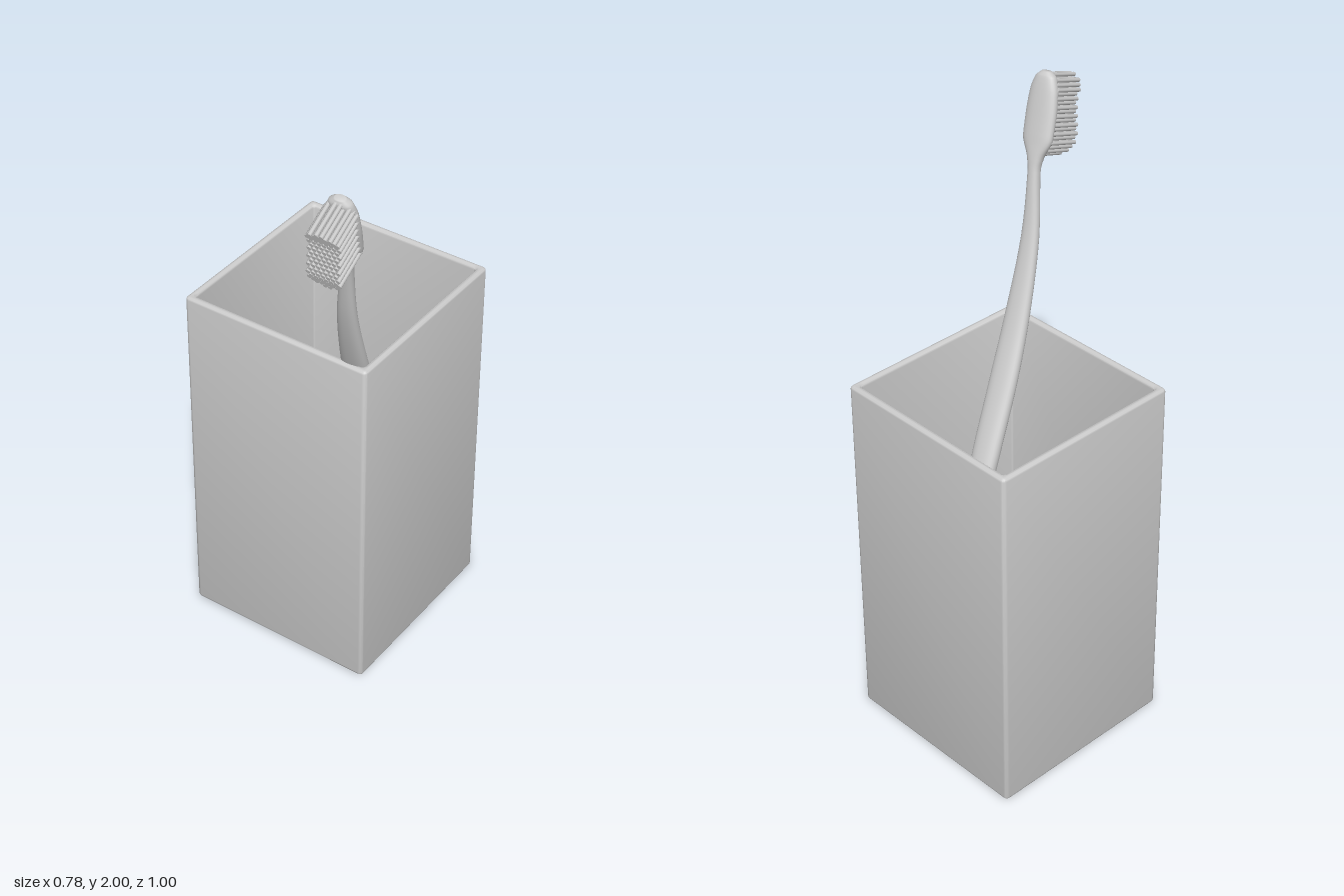
import * as THREE from 'three';
import { mergeGeometries, toCreasedNormals } from 'three/addons/utils/BufferGeometryUtils.js';

const grey = new THREE.MeshStandardMaterial({ color: 0xcccccc });

function addMesh(parent, name, geometry) {
  const mesh = new THREE.Mesh(geometry, grey);
  mesh.name = name;
  parent.add(mesh);
  return mesh;
}

// Square outline with rounded corners
function roundedSquare(target, h, r) {
  target.moveTo(-h + r, -h);
  target.lineTo(h - r, -h).quadraticCurveTo(h, -h, h, -h + r);
  target.lineTo(h, h - r).quadraticCurveTo(h, h, h - r, h);
  target.lineTo(-h + r, h).quadraticCurveTo(-h, h, -h, h - r);
  target.lineTo(-h, -h + r).quadraticCurveTo(-h, -h, -h + r, -h);
  return target;
}

// Square tumbler: bevelled walls around an open centre, plus a floor
function createCup() {
  const cup = new THREE.Group();
  cup.name = 'cup';
  const bevel = 0.011, height = 1.26;
  const outline = roundedSquare(new THREE.Shape(), 0.34, 0.014);
  outline.holes.push(roundedSquare(new THREE.Path(), 0.315, 0.014));
  const walls = new THREE.ExtrudeGeometry(outline, {
    depth: height - 2 * bevel, curveSegments: 4,
    bevelSize: bevel, bevelThickness: bevel, bevelOffset: -bevel, bevelSegments: 3,
  });
  walls.rotateX(-Math.PI / 2).translate(0, bevel, 0);
  addMesh(cup, 'cupWalls', toCreasedNormals(walls, 0.6));
  addMesh(cup, 'cupFloor', new THREE.BoxGeometry(0.652, 0.025, 0.652).translate(0, 0.0125, 0));
  cup.position.set(-0.05, 0, -0.16);
  return cup;
}

// Brush sections from handle end to head tip: x, y, z, half width, half thickness
const sections = [
  [0.013, 0.035, -0.452, 0.022, 0.012],
  [0.016, 0.045, -0.447, 0.042, 0.022],
  [0.023, 0.09, -0.425, 0.05, 0.029],
  [0.07, 0.37, -0.3, 0.049, 0.031],
  [0.122, 0.65, -0.165, 0.039, 0.026],
  [0.159, 0.86, -0.06, 0.049, 0.029],
  [0.192, 1.06, 0.046, 0.05, 0.027],
  [0.225, 1.26, 0.143, 0.044, 0.024],
  [0.257, 1.5, 0.231, 0.031, 0.02],
  [0.287, 1.7, 0.277, 0.02, 0.019],
  [0.294, 1.745, 0.29, 0.029, 0.021],
  [0.302, 1.8, 0.308, 0.055, 0.022],
  [0.312, 1.87, 0.332, 0.056, 0.023],
  [0.322, 1.94, 0.355, 0.05, 0.023],
  [0.327, 1.98, 0.369, 0.036, 0.021],
  [0.329, 1.996, 0.374, 0.016, 0.012],
];
const sideways = new THREE.Vector3(0.98, -0.09, -0.15);

// Smooth body lofted through the sections, closed by a point at each end
function createBody() {
  const path = new THREE.CatmullRomCurve3(sections.map(s => new THREE.Vector3(s[0], s[1], s[2])));
  const sizes = new THREE.CatmullRomCurve3(sections.map(s => new THREE.Vector3(s[3], s[4], 0)));
  const rings = (sections.length - 1) * 5, sides = 28;
  const positions = [], indices = [];
  for (let i = -1; i <= rings + 1; i++) {
    const u = THREE.MathUtils.clamp(i / rings, 0, 1);
    const scale = i < 0 || i > rings ? 0 : 1;
    const centre = path.getPoint(u), size = sizes.getPoint(u), along = path.getTangent(u);
    const across = sideways.clone().addScaledVector(along, -sideways.dot(along)).normalize();
    const front = across.clone().cross(along);
    for (let j = 0; j < sides; j++) {
      const a = j / sides * Math.PI * 2, c = Math.cos(a), s = Math.sin(a);
      const p = centre.clone()
        .addScaledVector(across, scale * size.x * Math.sign(c) * Math.abs(c) ** 0.85)
        .addScaledVector(front, scale * size.y * Math.sign(s) * Math.abs(s) ** 0.85);
      positions.push(p.x, p.y, p.z);
      if (i <= rings) {
        const k = (i + 1) * sides, n = (j + 1) % sides;
        // across x front points back along the path
        indices.push(k + j, k + sides + j, k + n, k + n, k + sides + j, k + sides + n);
      }
    }
  }
  const geometry = new THREE.BufferGeometry();
  geometry.setAttribute('position', new THREE.Float32BufferAttribute(positions, 3));
  geometry.setIndex(indices);
  geometry.computeVertexNormals();
  return geometry;
}

// Staggered rows of bristles with a wavy trim, in the head's own frame
function createBristles() {
  const trim = new THREE.SplineCurve([[-1, 0.1], [-0.6, 0.117], [0, 0.103], [0.55, 0.092], [1, 0.114]]
    .map(p => new THREE.Vector2(...p)));
  const parts = [], halfWidth = 0.052, halfLength = 0.126, step = 0.0155;
  for (let row = -9; row <= 9; row++) {
    for (let col = -4; col <= 4; col++) {
      const x = (col + (row % 2 ? 0.5 : 0)) * step, y = row * 0.0138;
      if (Math.abs(x / halfWidth) ** 3 + Math.abs(y / halfLength) ** 3 > 1) continue;
      const length = trim.getPoint((y / halfLength + 1) / 2).y + 0.02;
      parts.push(new THREE.CylinderGeometry(0.0068, 0.0068, length, 7)
        .rotateX(Math.PI / 2).translate(x, y, length / 2));
    }
  }
  return mergeGeometries(parts);
}

export function createModel() {
  const model = new THREE.Group();
  model.name = 'toothbrushInCup';
  model.add(createCup());

  const brush = new THREE.Group();
  brush.name = 'toothbrush';
  model.add(brush);
  addMesh(brush, 'handleAndHead', createBody());

  // Bristles stand square on the front of the head
  const bristles = addMesh(brush, 'bristles', createBristles());
  const up = new THREE.Vector3(0.13, 0.93, 0.32).normalize();
  const across = sideways.clone().addScaledVector(up, -sideways.dot(up)).normalize();
  const front = across.clone().cross(up);
  bristles.quaternion.setFromRotationMatrix(new THREE.Matrix4().makeBasis(across, up, front));
  bristles.position.set(0.312, 1.868, 0.332);
  return model;
}
